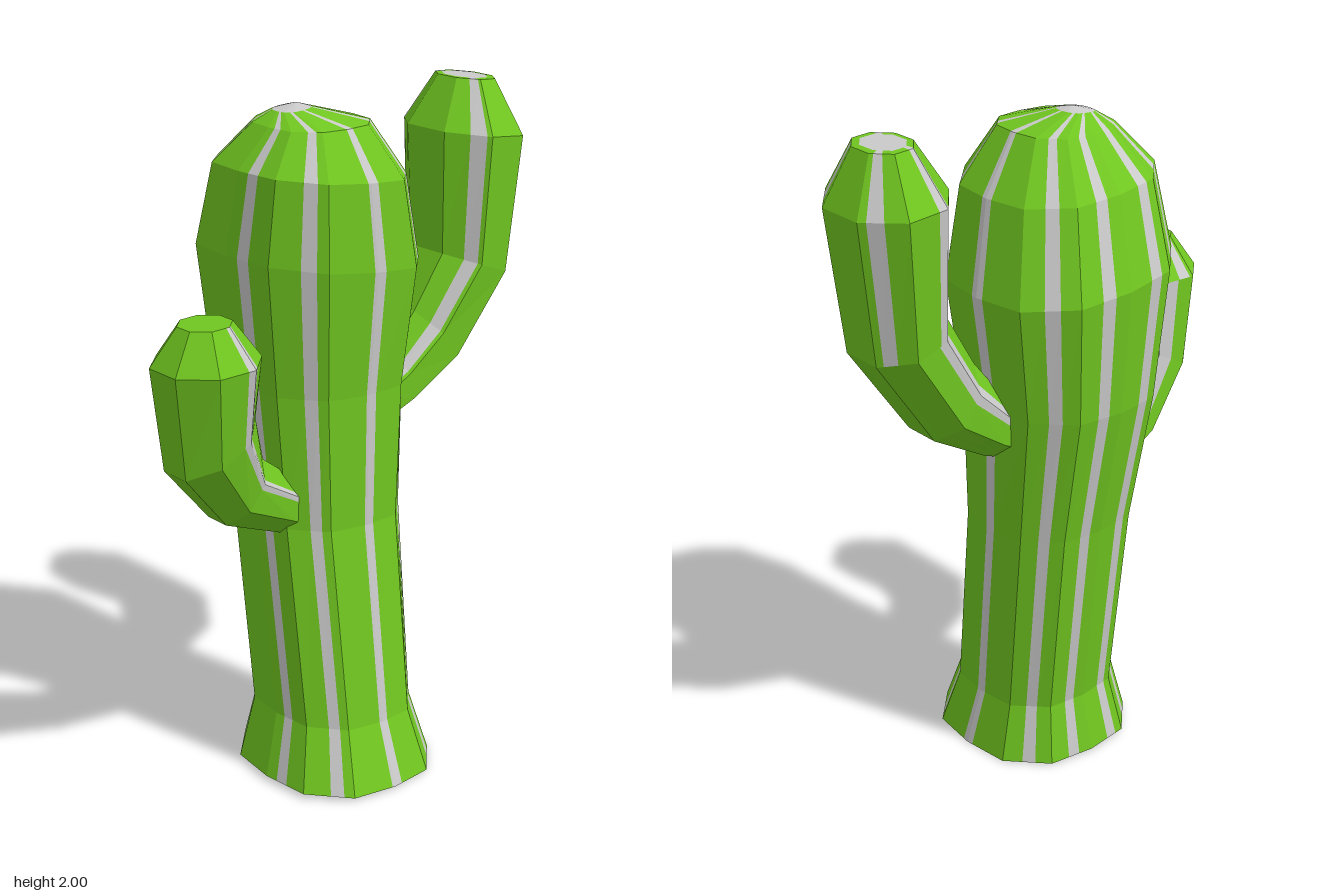
import * as THREE from 'three';

const green = new THREE.MeshStandardMaterial({ color: 0x70c620 });
green.name = 'cactus green';
const grey = new THREE.MeshStandardMaterial({ color: 0xcacaca });
grey.name = 'pale grey rib';

const rad = THREE.MathUtils.degToRad;
const SQUARENESS = 2.8;   // 2 gives an ellipse, higher is boxier

// Ring: [left x, left y, right x, right y, centre z, z radius].
// Angle 0 points to the right end of the ring, 90 to the front.
function ringPoint(ring, deg, sides, phase) {
  const [ax, ay, bx, by, cz, rz] = ring;
  const step = 360 / sides;
  const corner = Math.floor((deg - phase) / step + 1e-6) * step + phase;
  const at = (d) => {
    const c = Math.cos(rad(d)), s = Math.sin(rad(d));
    const k = (Math.abs(c) ** SQUARENESS + Math.abs(s) ** SQUARENESS) ** (-1 / SQUARENESS);
    return new THREE.Vector3(
      (ax + bx) / 2 + (bx - ax) / 2 * c * k,
      (ay + by) / 2 + (by - ay) / 2 * c * k,
      cz + rz * s * k);
  };
  // Position along the chord between the two nearest corners
  const t = deg - corner, a = Math.sin(rad(t)), b = Math.sin(rad(step - t));
  return at(corner).lerp(at(corner + step), a / (a + b));
}

// Faceted loft through the rings; stripes are [angle, half width, first ring,
// last ring] strips of the same surface, and the last greyEnds bands are grey.
function stripedLoft(name, rings, sides, phase, stripes, greyEnds) {
  const gap = (a, b) => Math.abs(((a - b) % 360 + 540) % 360 - 180);
  const cuts = [];
  for (let i = 0; i < sides; i++) cuts.push(phase + i * 360 / sides);
  for (const [angle, half] of stripes) cuts.push(angle - half, angle + half);
  const angles = cuts.map((a) => (a % 360 + 360) % 360).sort((a, b) => a - b);
  angles.push(angles[0] + 360);

  const faces = [[], []];
  for (let r = 0; r < rings.length - 1; r++) {
    for (let i = 0; i < angles.length - 1; i++) {
      const a0 = angles[i], a1 = angles[i + 1];
      if (a1 - a0 < 0.01) continue;
      const mid = (a0 + a1) / 2;
      const onStripe = stripes.some(([angle, half, first, last]) =>
        r >= first && r < last && gap(mid, angle) < half);
      const isGrey = onStripe || r >= rings.length - 1 - greyEnds;
      const [l0, l1, u0, u1] = [[r, a0], [r, a1], [r + 1, a0], [r + 1, a1]]
        .map(([k, a]) => ringPoint(rings[k], a, sides, phase));
      const out = faces[isGrey ? 1 : 0];
      if (r > 0) out.push(l0, u0, l1);
      if (r === 0) out.push(l0, u0, u1);
      else if (r < rings.length - 2) out.push(l1, u0, u1);
    }
  }
  const geometry = new THREE.BufferGeometry().setFromPoints([...faces[0], ...faces[1]]);
  geometry.addGroup(0, faces[0].length, 0);
  geometry.addGroup(faces[0].length, faces[1].length, 1);
  geometry.computeVertexNormals();
  const mesh = new THREE.Mesh(geometry, [green, grey]);
  mesh.name = name;
  return mesh;
}

export function createModel() {
  const group = new THREE.Group();
  group.name = 'cactus';

  // Trunk: flared foot, backward lean, swollen head
  group.add(stripedLoft('trunk', [
    [-0.04, 0.005, -0.04, 0.005, 0.08, 0],
    [-0.305, 0.015, 0.22, 0.0, 0.08, 0.282],
    [-0.25, 0.2, 0.18, 0.18, 0.06, 0.23],
    [-0.25, 0.8, 0.205, 0.78, -0.025, 0.228],
    [-0.275, 1.2, 0.225, 1.18, -0.06, 0.272],
    [-0.322, 1.59, 0.266, 1.52, -0.055, 0.305],
    [-0.3, 1.83, 0.2, 1.78, -0.02, 0.262],
    [-0.21, 1.94, 0.09, 1.94, 0.0, 0.157],
    [-0.155, 1.972, -0.055, 1.98, -0.03, 0.05],
    [-0.09, 1.99, -0.09, 1.99, -0.03, 0],
  ], 12, 30,
  [0, 39, 88, 130, 168, 222, 250, 283, 314].map((a) => [a, 4, 1, 9]), 1));

  // Tall arm on the model's left
  group.add(stripedLoft('leftArm', [
    [0.12, 1.1, 0.12, 1.1, 0, 0],
    [0.1, 1.16, 0.17, 1.01, -0.01, 0.12],
    [0.2, 1.235, 0.25, 1.04, -0.01, 0.132],
    [0.285, 1.34, 0.43, 1.14, -0.01, 0.148],
    [0.375, 1.5, 0.615, 1.41, 0, 0.17],
    [0.37, 1.86, 0.672, 1.83, -0.008, 0.195],
    [0.455, 2.0, 0.6, 1.99, -0.01, 0.098],
    [0.47, 2.0, 0.58, 1.993, -0.01, 0.075],
    [0.525, 1.997, 0.525, 1.997, -0.01, 0],
  ], 8, 22.5, [
    [125, 8, 1, 8], [48, 9, 4, 6], [-38, 8, 4, 8],
    [-114, 13, 1, 4], [-110, 7, 4, 8],
  ], 1));

  // Short arm on the model's right
  group.add(stripedLoft('rightArm', [
    [-0.14, 0.84, -0.14, 0.84, 0.02, 0],
    [-0.18, 0.75, -0.14, 0.92, 0.02, 0.09],
    [-0.24, 0.78, -0.21, 0.96, 0.03, 0.1],
    [-0.455, 0.87, -0.32, 1.04, 0.06, 0.105],
    [-0.625, 1.06, -0.38, 1.19, 0.1, 0.125],
    [-0.675, 1.37, -0.38, 1.375, 0.125, 0.147],
    [-0.605, 1.48, -0.46, 1.485, 0.13, 0.073],
    [-0.53, 1.483, -0.53, 1.483, 0.13, 0],
  ], 8, 22.5, [[68, 8, 1, 6], [-75, 15, 1, 5], [-100, 8, 5, 6]], 0));

  return group;
}
